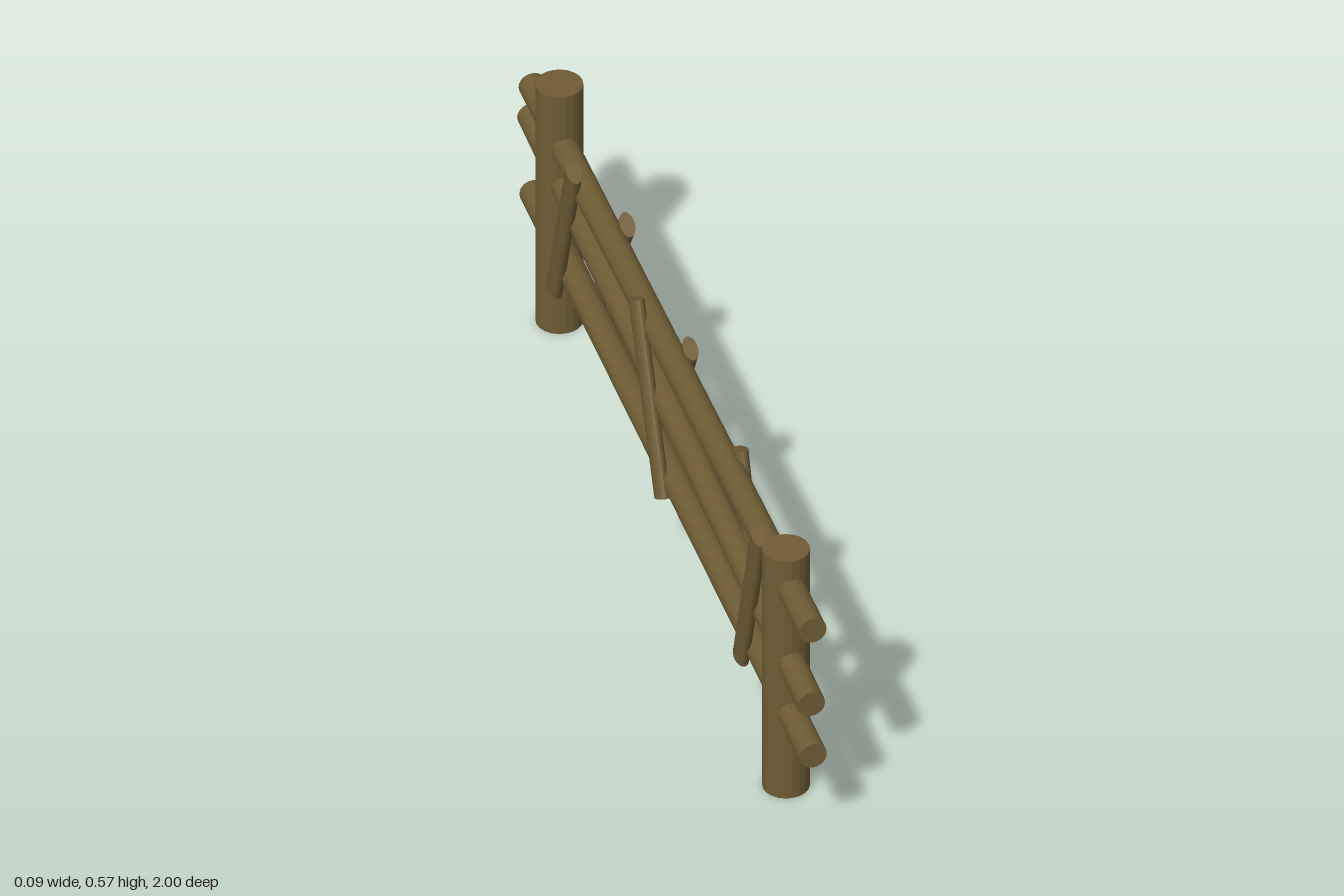
import * as THREE from 'three';

const SIDES = 20;
const UP = new THREE.Vector3(0, 1, 0);

export function createModel() {
  const fence = new THREE.Group();
  fence.name = 'fence';
  const wood = new THREE.MeshStandardMaterial({ color: 0x6e5c34, flatShading: true });

  // Round pole between two [y, z] points in the plane at x; thickX flattens it sideways
  function pole(name, x, [y0, z0], [y1, z1], radius, thickX = radius) {
    const a = new THREE.Vector3(x, y0, z0);
    const b = new THREE.Vector3(x, y1, z1);
    const geometry = new THREE.CylinderGeometry(radius, radius, a.distanceTo(b), SIDES);
    geometry.scale(thickX / radius, 1, 1);
    const mesh = new THREE.Mesh(geometry, wood);
    mesh.name = name;
    mesh.quaternion.setFromUnitVectors(UP, b.clone().sub(a).normalize());
    mesh.position.addVectors(a, b).multiplyScalar(0.5);
    fence.add(mesh);
  }

  // Upright posts
  pole('frontPost', 0, [0, 0.808], [0.573, 0.808], 0.047);
  pole('backPost', 0, [0, -0.798], [0.573, -0.798], 0.047);

  // Long, slightly crooked rails
  pole('topRail', 0, [0.435, -0.99], [0.506, 0.998], 0.028);
  pole('middleRail', 0, [0.356, -1], [0.32, 0.988], 0.028);
  pole('bottomRail', 0, [0.18, -0.985], [0.204, 1], 0.028);

  // Flattened slanting braces on both faces of the rails: bottom and top [y, z]
  const leftBraces = [
    [[0.145, 0.54], [0.515, 0.39]],
    [[0.158, -0.143], [0.511, 0.037]],
    [[0.165, -0.62], [0.498, -0.41]],
  ];
  const rightBraces = [
    [[0.165, 0.59], [0.545, 0.718]],
    [[0.158, 0.033], [0.511, -0.152]],
    [[0.13, -0.732], [0.505, -0.595]],
  ];
  leftBraces.forEach(([a, b], i) => pole(`leftBrace${i + 1}`, 0.027, a, b, 0.027, 0.015));
  rightBraces.forEach(([a, b], i) => pole(`rightBrace${i + 1}`, -0.029, a, b, 0.027, 0.015));

  return fence;
}
